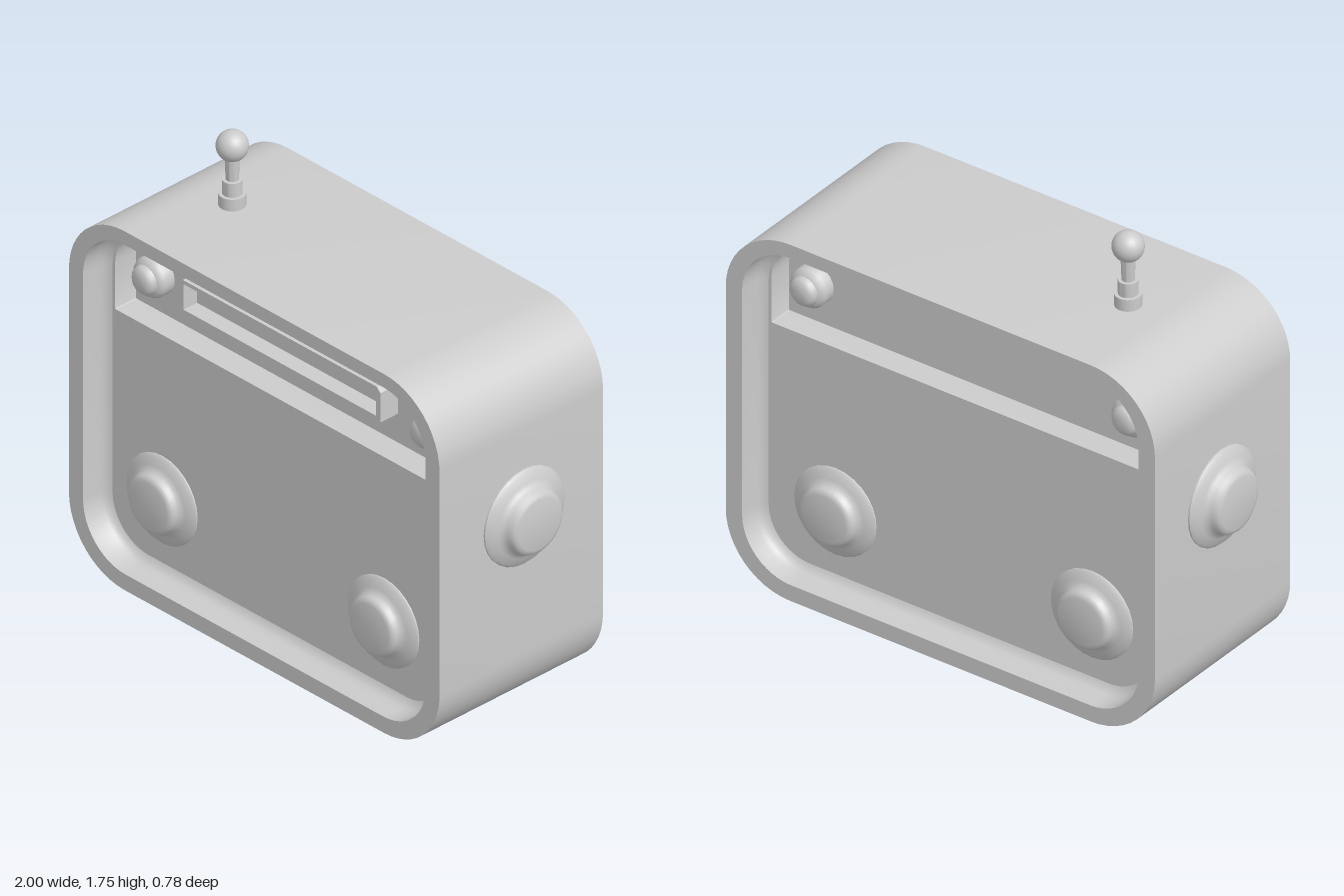
import * as THREE from 'three';
import { toCreasedNormals } from 'three/addons/utils/BufferGeometryUtils.js';

const W = 0.92, H = 1.455, D = 0.39; // half width, height, half depth of the case
const PANEL_Z = 0.28, RECESS_Z = 0.18;
const grey = new THREE.MeshStandardMaterial({ color: 0xcccccc });

function mesh(name, geometry, parent, x = 0, y = 0, z = 0) {
  const m = new THREE.Mesh(geometry, grey);
  m.name = name;
  m.position.set(x, y, z);
  parent.add(m);
  return m;
}

// Rounded rectangle points, counter-clockwise, the same count for every size
function roundedRect(x, y0, y1, r, rBottom = r, seg = 12) {
  const pts = [];
  const corners = [[1, y0, 1, rBottom], [1, y1, -1, r], [-1, y1, -1, r], [-1, y0, 1, rBottom]];
  corners.forEach(([sx, y, up, rad], k) => {
    for (let i = 0; i <= seg; i++) {
      const a = (k - 1 + i / seg) * Math.PI / 2;
      pts.push(new THREE.Vector2(sx * (x - rad) + rad * Math.cos(a), y + up * rad + rad * Math.sin(a)));
    }
  });
  return pts;
}

// The opening in the case, shrunk by an inset
const opening = (inset) => roundedRect(0.85 - inset, 0.065 + inset, 1.4 - inset, 0.21 - inset);
const upperOutline = () => roundedRect(0.805, 1.02, 1.37, 0.16, 0.004);

// Skin over a series of equal-count rings
function loft(rings) {
  const n = rings[0].pts.length, pos = [], index = [];
  rings.forEach(({ pts, z }) => pts.forEach((p) => pos.push(p.x, p.y, z)));
  for (let k = 0; k < rings.length - 1; k++) {
    for (let i = 0; i < n; i++) {
      const a = k * n + i, b = k * n + (i + 1) % n;
      index.push(a, b, b + n, a, b + n, a + n);
    }
  }
  const g = new THREE.BufferGeometry();
  g.setAttribute('position', new THREE.Float32BufferAttribute(pos, 3));
  g.setIndex(index);
  return toCreasedNormals(g, 0.6);
}

function plate(outline, depth, hole) {
  const s = new THREE.Shape(outline);
  if (hole) s.holes.push(new THREE.Path(hole));
  return toCreasedNormals(new THREE.ExtrudeGeometry(s, { depth, bevelEnabled: false }), 0.5);
}

// Turned part whose axis points along +z
function turned(profile, segments = 28) {
  const g = new THREE.LatheGeometry(profile.map(([r, y]) => new THREE.Vector2(r, y)), segments);
  return toCreasedNormals(g.rotateX(Math.PI / 2), 0.75);
}

const dial = () => turned([[0.19, -0.02], [0.19, 0.006], [0.178, 0.018], [0.15, 0.027], [0.134, 0.036],
  [0.125, 0.05], [0.122, 0.065], [0.113, 0.076], [0.1, 0.08], [0, 0.08]]);
const smallKnob = () => turned([[0.077, -0.01], [0.077, 0.045], [0.068, 0.06], [0.057, 0.066],
  [0.052, 0.082], [0.04, 0.093], [0, 0.095]], 20);

// Raised frame with a sunken display
function buildWindow(parent) {
  const frame = (x0, x1, y0, y1, c) => [[x0, y0], [x1, y0], [x1, y1 - c], [x1 - c, y1], [x0 + c, y1], [x0, y1 - c]]
    .map(([x, y]) => new THREE.Vector2(x, y));
  const inner = frame(-0.482, 0.475, 1.156, 1.26, 0.003);
  mesh('windowFrame', plate(frame(-0.503, 0.496, 1.138, 1.275, 0.018), 0.085, inner), parent, 0, 0, RECESS_Z);
  mesh('windowDisplay', plate(inner, 0.02), parent, 0, 0, RECESS_Z);
}

// Everything sunk into one open face, built facing +z
function buildFace(name, dialXs) {
  const face = new THREE.Group();
  face.name = name;
  mesh('lowerPanel', plate(opening(-0.02), PANEL_Z - RECESS_Z, upperOutline()), face, 0, 0, RECESS_Z);
  mesh('upperPanel', plate(opening(-0.02), 0.02), face, 0, 0, RECESS_Z - 0.02);
  for (const x of [-0.69, 0.69]) mesh('smallKnob', smallKnob(), face, x, 1.175, RECESS_Z);
  for (const x of dialXs) mesh('dial', dial(), face, x, 0.355, PANEL_Z).scale.set(0.92, 0.92, 0.85);
  return face;
}

export function createModel() {
  const model = new THREE.Group();
  model.name = 'radio';

  // Case: outer wall, rims and coved recess walls on both faces
  const half = [
    { pts: roundedRect(W, 0, H, 0.275), z: D },
    { pts: opening(0), z: D },
    { pts: opening(0), z: 0.325 },
    { pts: opening(0.006), z: 0.305 },
    { pts: opening(0.016), z: 0.289 },
    { pts: opening(0.032), z: PANEL_Z },
  ];
  const back = half.map(({ pts, z }) => ({ pts, z: -z })).reverse();
  mesh('case', loft([...back, ...half]), model);

  // Front and back faces
  const front = buildFace('frontFace', [-0.57, 0.53]);
  buildWindow(front);
  const rear = buildFace('backFace', [-0.53, 0.57]);
  rear.rotation.y = Math.PI;
  model.add(front, rear);

  // Side dials
  for (const s of [-1, 1]) {
    mesh(s > 0 ? 'leftDial' : 'rightDial', dial(), model, s * W, 0.832, -0.01).rotation.y = s * Math.PI / 2;
  }

  // Antenna: stepped base, rod and ball
  const antenna = new THREE.Group();
  antenna.name = 'antenna';
  antenna.position.set(-0.515, H, 0);
  const stem = turned([[0.049, -0.02], [0.049, 0.047], [0.036, 0.047], [0.036, 0.103],
    [0.023, 0.103], [0.027, 0.2]], 24);
  mesh('antennaStem', stem, antenna).rotation.x = -Math.PI / 2;
  mesh('antennaBall', new THREE.SphereGeometry(0.058, 24, 16), antenna, 0, 0.238, 0);
  model.add(antenna);

  return model;
}
